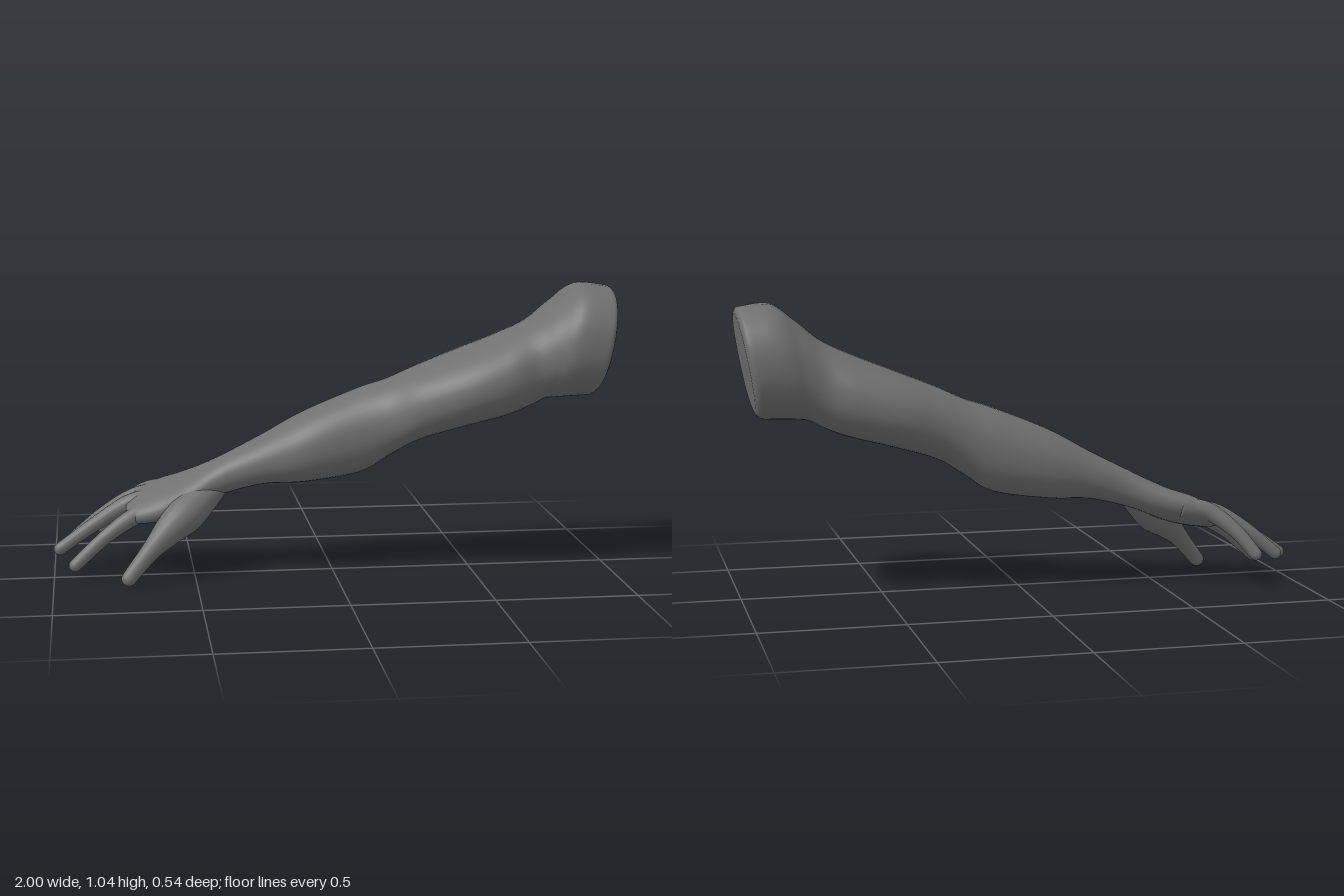
import * as THREE from 'three';

// Catmull-Rom interpolation of rows of numbers, `steps` samples per span
function smoothRows(rows, steps) {
  const out = [];
  const last = rows.length - 1;
  for (let i = 0; i < last; i++) {
    const p0 = rows[Math.max(i - 1, 0)], p1 = rows[i];
    const p2 = rows[i + 1], p3 = rows[Math.min(i + 2, last)];
    for (let s = 0; s < steps; s++) {
      const t = s / steps;
      out.push(p1.map((b, k) => {
        const a = p0[k], c = p2[k], d = p3[k];
        return b + 0.5 * t * (c - a + t * (2 * a - 5 * b + 4 * c - d + t * (3 * (b - c) + d - a)));
      }));
    }
  }
  out.push(rows[last]);
  return out;
}

const ringCentre = (ring) =>
  ring.reduce((sum, p) => sum.add(p), new THREE.Vector3()).divideScalar(ring.length);

// Skin a list of rings (each counterclockwise about the travel direction), closing both ends
function skin(rings) {
  const n = rings[0].length;
  const points = rings.flat();
  const index = [];
  for (let i = 0; i < rings.length - 1; i++) {
    for (let j = 0; j < n; j++) {
      const a = i * n + j, b = i * n + (j + 1) % n;
      index.push(a, b, a + n, b, b + n, a + n);
    }
  }
  const start = points.length, end = start + 1, base = (rings.length - 1) * n;
  points.push(ringCentre(rings[0]), ringCentre(rings[rings.length - 1]));
  for (let j = 0; j < n; j++) {
    const k = (j + 1) % n;
    index.push(start, k, j, end, base + j, base + k);
  }
  const geometry = new THREE.BufferGeometry().setFromPoints(points);
  geometry.setIndex(index);
  geometry.computeVertexNormals();
  return geometry;
}

// Limb cross-section; slices lean at the shoulder and roll towards the thumb at the hand
function limbRing([x, top, bottom, back, front]) {
  const sides = 40;
  const cy = (top + bottom) / 2, cz = (back + front) / 2;
  const lean = 0.18 * THREE.MathUtils.smoothstep(x, 0.66, 0.84);
  const roll = 0.18 * THREE.MathUtils.smoothstep(-x, 0.36, 0.58);
  const soft = (v) => Math.sign(v) * Math.abs(v) ** 0.9;
  return Array.from({ length: sides }, (_, j) => {
    const a = (j / sides) * Math.PI * 2;
    const dz = soft(Math.cos(a)) * (front - back) / 2;
    const dy = soft(Math.sin(a)) * (top - bottom) / 2;
    return new THREE.Vector3(x + lean * dy, cy + dy - roll * dz, cz + dz);
  });
}

// Arm and palm skin, with a rounded rim around the flat shoulder cut
function armGeometry(rows) {
  const rings = smoothRows(rows, 6).map(limbRing);
  const rim = rings[0], centre = ringCentre(rim);
  for (const angle of [0.35, 0.75, 1.15, 1.57]) {
    const scale = 0.84 + 0.16 * Math.cos(angle);
    const shift = 0.024 * Math.sin(angle);
    rings.unshift(rim.map((p) => {
      const q = p.clone().sub(centre).multiplyScalar(scale).add(centre);
      q.x += shift;
      return q;
    }));
  }
  return skin(rings);
}

// Digit from rows of x, y, z, radius, with a rounded tip
function digitGeometry(rows) {
  const sides = 20;
  const path = smoothRows(rows, 8);
  const pos = path.map(([x, y, z]) => new THREE.Vector3(x, y, z));
  const up = new THREE.Vector3(0, 1, 0);
  const ring = (c, d, r) => {
    const u = up.clone().cross(d).normalize();
    const v = d.clone().cross(u);
    return Array.from({ length: sides }, (_, j) => {
      const a = (j / sides) * Math.PI * 2;
      return c.clone().addScaledVector(u, r * Math.cos(a)).addScaledVector(v, r * Math.sin(a));
    });
  };
  const dir = (i) => pos[Math.min(i + 1, pos.length - 1)].clone()
    .sub(pos[Math.max(i - 1, 0)]).normalize();
  const rings = path.map((p, i) => ring(pos[i], dir(i), p[3]));
  const e = pos.length - 1, r = path[e][3], d = dir(e);
  for (let k = 1; k <= 5; k++) {
    const a = (k / 5.5) * Math.PI / 2;
    rings.push(ring(pos[e].clone().addScaledVector(d, r * Math.sin(a)), d, r * Math.cos(a)));
  }
  return skin(rings);
}

// A finger starts inside the palm, behind its knuckle, and tapers to the tip
function fingerGeometry([knuckle, middle, tip]) {
  const [x, y, z] = knuckle;
  const root = [x + 0.1, y + 0.02, z * 0.8 - 0.015];
  return digitGeometry([[...root, 0.036], [...knuckle, 0.033], [...middle, 0.026], [...tip, 0.0225]]);
}

// Shoulder to knuckles: x, top, bottom, back z, front z
const ARM = [
  [0.945, 1.037, 0.643, -0.172, 0.258],
  [0.84, 1.045, 0.638, -0.175, 0.262],
  [0.77, 0.985, 0.632, -0.16, 0.24],
  [0.7, 0.915, 0.605, -0.157, 0.224],
  [0.6, 0.865, 0.57, -0.187, 0.243],
  [0.45, 0.805, 0.532, -0.205, 0.234],
  [0.3, 0.745, 0.485, -0.185, 0.185],
  [0.2, 0.7, 0.425, -0.177, 0.135],
  [0.1, 0.667, 0.365, -0.18, 0.118],
  [-0.1, 0.585, 0.334, -0.178, 0.114],
  [-0.25, 0.502, 0.327, -0.158, 0.072],
  [-0.4, 0.425, 0.29, -0.144, 0.043],
  [-0.53, 0.36, 0.238, -0.178, 0.06],
  [-0.62, 0.327, 0.214, -0.193, 0.067],
  [-0.7, 0.292, 0.205, -0.187, 0.045],
  [-0.74, 0.265, 0.215, -0.16, 0.015],
];

// Knuckle, middle joint and tip of each finger
const FINGERS = {
  littleFinger: [[-0.67, 0.28, -0.17], [-0.76, 0.21, -0.214], [-0.822, 0.132, -0.25]],
  ringFinger: [[-0.71, 0.267, -0.135], [-0.82, 0.203, -0.155], [-0.928, 0.115, -0.168]],
  middleFinger: [[-0.73, 0.255, -0.078], [-0.85, 0.186, -0.073], [-0.979, 0.098, -0.065]],
  indexFinger: [[-0.7, 0.232, 0.005], [-0.81, 0.165, 0.032], [-0.925, 0.065, 0.055]],
};

// Thumb from the wrist through its fleshy base: x, y, z, radius
const THUMB = [
  [-0.4, 0.335, -0.025, 0.037],
  [-0.52, 0.247, 0.04, 0.067],
  [-0.59, 0.193, 0.088, 0.055],
  [-0.66, 0.127, 0.126, 0.035],
  [-0.738, 0.037, 0.155, 0.027],
];

export function createModel() {
  const skinGrey = new THREE.MeshStandardMaterial({ color: 0x707070 });
  skinGrey.name = 'skin grey';

  const model = new THREE.Group();
  model.name = 'arm';
  const add = (name, geometry) => {
    const mesh = new THREE.Mesh(geometry, skinGrey);
    mesh.name = name;
    model.add(mesh);
  };

  add('armAndPalm', armGeometry(ARM));
  for (const [name, joints] of Object.entries(FINGERS)) add(name, fingerGeometry(joints));
  add('thumb', digitGeometry(THUMB));
  return model;
}
